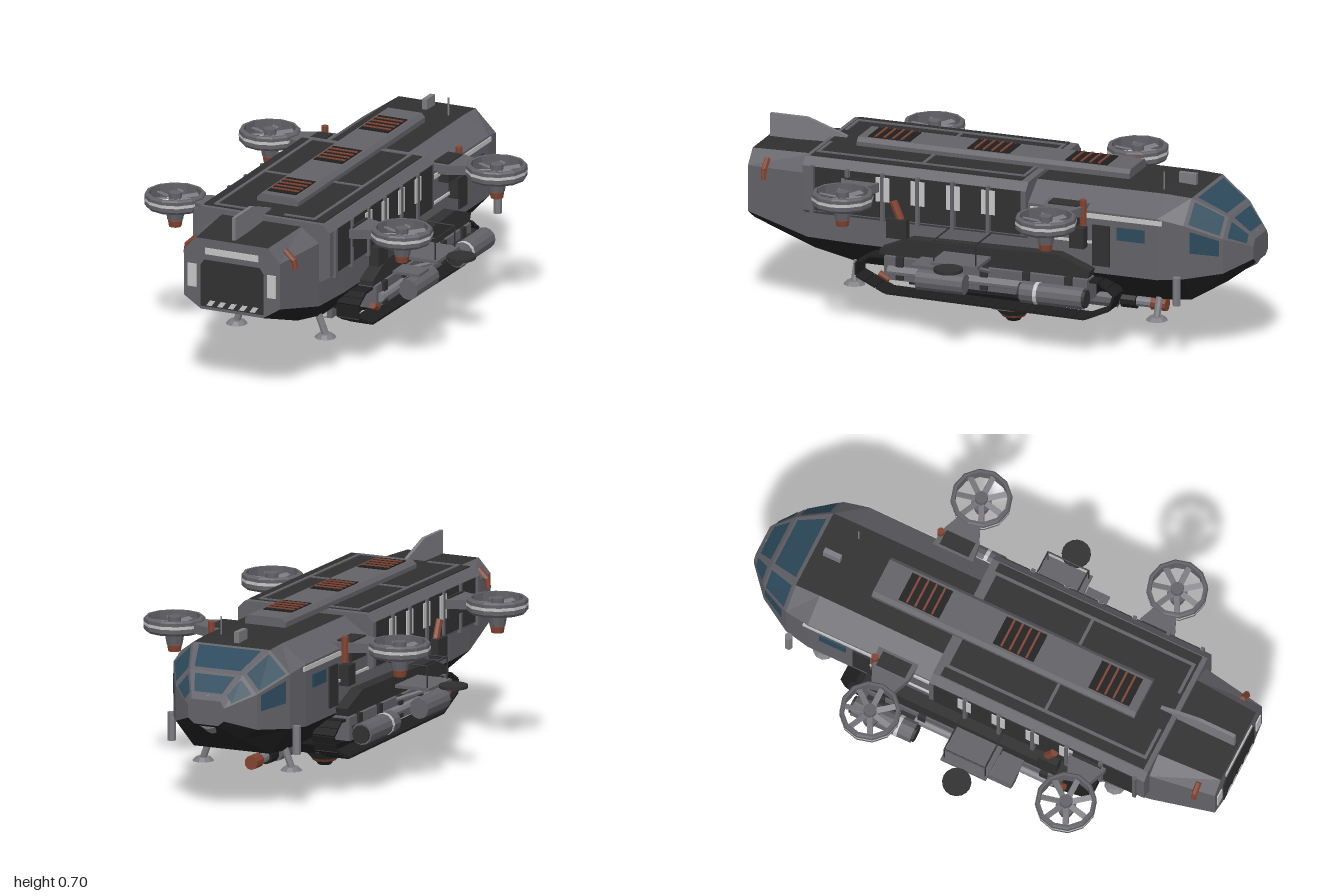
import * as THREE from 'three';
import { mergeGeometries } from 'three/addons/utils/BufferGeometryUtils.js';

const mat = (name, color, side = THREE.FrontSide) =>
  Object.assign(new THREE.MeshStandardMaterial({ color, flatShading: true, side }), { name });

export function createModel() {
  const root = new THREE.Group();
  root.name = 'armouredTransport';
  const grey = mat('hullGrey', 0x626167), dark = mat('darkPanel', 0x303030), black = mat('undersideBlack', 0x1f1f1f);
  const light = mat('lightPanel', 0xc4c4c4), glass = mat('glassBlue', 0x2c4a5c), rust = mat('rustRed', 0x82432f);
  const steel = mat('steelGrey', 0x7b7a80);

  // ---- helpers ----
  const add = (name, geo, m, x = 0, y = 0, z = 0, parent = root) => {
    const mesh = new THREE.Mesh(geo, m);
    mesh.name = name;
    mesh.position.set(x, y, z);
    parent.add(mesh);
    return mesh;
  };
  // box given by its limits
  const box = (name, m, x0, x1, y0, y1, z0, z1, parent = root) =>
    add(name, new THREE.BoxGeometry(Math.abs(x1 - x0), y1 - y0, Math.abs(z1 - z0)), m, (x0 + x1) / 2, (y0 + y1) / 2, (z0 + z1) / 2, parent);
  const cyl = (name, m, r0, r1, h, x, y, z, n = 12, parent = root) =>
    add(name, new THREE.CylinderGeometry(r0, r1, h, n), m, x, y, z, parent);
  const rod = (name, m, r, a, b, n = 6) => {
    const A = new THREE.Vector3(...a), B = new THREE.Vector3(...b), d = B.clone().sub(A);
    const o = cyl(name, m, r, r, d.length(), 0, 0, 0, n);
    o.position.copy(A).add(B).multiplyScalar(0.5);
    o.quaternion.setFromUnitVectors(new THREE.Vector3(0, 1, 0), d.normalize());
    return o;
  };
  const shape = pts => new THREE.Shape(pts.map(p => new THREE.Vector2(...p)));
  const extrude = (pts, depth) => new THREE.ExtrudeGeometry(shape(pts), { depth, bevelEnabled: false });
  const quadGeo = quads => {
    const g = new THREE.BufferGeometry();
    const v = quads.flatMap(([a, b, c, d]) => [a, b, c, a, c, d].flatMap(p => p.toArray()));
    g.setAttribute('position', new THREE.Float32BufferAttribute(v, 3));
    g.computeVertexNormals();
    return g;
  };
  const both = fn => [1, -1].forEach(fn);

  // ---- hull: octagonal sections [z, top half width, top y, side half width, upper y, lower y, bottom half width, bottom y] ----
  const ring = ([z, a, t, w, yu, yl, b, bot]) =>
    [[b, bot], [w, yl], [w, yu], [a, t], [-a, t], [-w, yu], [-w, yl], [-b, bot]].map(p => new THREE.Vector3(p[0], p[1], z));
  const facet = (r0, r1, j) => [r0[j], r1[j], r1[(j + 1) % 8], r0[(j + 1) % 8]];
  const loft = (name, sections, mats) => {
    const rings = sections.map(ring);
    for (let j = 0; j < 8; j++)
      add(name, quadGeo(rings.slice(1).map((r, i) => facet(rings[i], r, j))), mats[j]);
    return rings;
  };
  const tail = [0.994, 0.15, 0.605, 0.2, 0.55, 0.37, 0.13, 0.325];
  const tailEnd = [0.74, 0.165, 0.615, 0.24, 0.56, 0.31, 0.15, 0.24];
  const noseStart = [-0.78, 0.16, 0.615, 0.245, 0.53, 0.32, 0.16, 0.215];
  const tailRings = loft('tailHull', [tail, tailEnd], [black, grey, grey, dark, grey, grey, black, grey]);
  loft('mainHull', [tailEnd, [0.55, 0.165, 0.62, 0.255, 0.56, 0.31, 0.16, 0.205],
    [-0.68, 0.16, 0.62, 0.262, 0.55, 0.31, 0.16, 0.205], noseStart], [black, grey, grey, dark, grey, grey, black, black]);
  const nose = loft('noseHull', [noseStart, [-0.91, 0.11, 0.54, 0.17, 0.47, 0.335, 0.11, 0.29],
    [-0.997, 0.06, 0.45, 0.075, 0.425, 0.375, 0.05, 0.355]], [black, grey, grey, grey, grey, grey, black, black]);
  add('tailFace', new THREE.ShapeGeometry(shape(tailRings[0].map(p => [p.x, p.y]))), grey, 0, 0, 0.994);
  add('noseFace', new THREE.ShapeGeometry(shape(nose[2].map(p => [-p.x, p.y]).reverse())), grey, 0, 0, -0.997).rotation.y = Math.PI;

  // cockpit panes inset on the nose facets
  const pane = (name, [a, b, c, d], m, u0, u1, v0, v1) => {
    const n = b.clone().sub(a).cross(d.clone().sub(a)).normalize().multiplyScalar(0.004);
    const at = (u, v) => a.clone().lerp(b, u).lerp(d.clone().lerp(c, u), v).add(n);
    add(name, quadGeo([[at(u0, v0), at(u1, v0), at(u1, v1), at(u0, v1)]]), m);
  };
  for (const j of [2, 3, 4]) {
    pane('upperWindow', facet(nose[0], nose[1], j), glass, 0.1, 0.9, 0.08, 0.92);
    pane('frontWindow', facet(nose[1], nose[2], j), glass, 0.12, 0.75, 0.1, 0.9);
  }
  pane('sideWindow', facet(nose[0], nose[1], 1), glass, 0.15, 0.9, 0.5, 0.93);
  pane('sideWindow', facet(nose[0], nose[1], 5), glass, 0.15, 0.9, 0.07, 0.5);
  const cap = cyl('noseCap', steel, 0.065, 0.09, 0.04, 0, 0.4, -0.965, 10);
  cap.rotation.x = -Math.PI / 2;

  // ---- rear ramp ----
  const plate = (name, m, pts, z = 0.994) => add(name, extrude(pts, 0.004), m, 0, 0, z);
  plate('rampDoor', dark, [[-0.13, 0.338], [0.13, 0.338], [0.13, 0.5], [0.115, 0.522], [-0.115, 0.522], [-0.13, 0.5]]);
  plate('rearLightBar', light, [[-0.11, 0.545], [0.11, 0.545], [0.11, 0.57], [-0.11, 0.57]]);
  for (let i = 0; i < 5; i++) {
    const x = -0.105 + i * 0.045;
    plate('hazardStripe', light, [[x, 0.343], [x + 0.022, 0.343], [x + 0.037, 0.364], [x + 0.015, 0.364]], 0.996);
  }
  both(s => {
    box('rearSideLight', light, s * 0.147, s * 0.183, 0.41, 0.5, 0.994, 0.999);
    rod('rearHandle', rust, 0.012, [s * 0.185, 0.58, 0.92], [s * 0.222, 0.545, 0.92]);
    rod('rearHandle', rust, 0.01, [s * 0.222, 0.55, 0.92], [s * 0.228, 0.51, 0.92]);
  });

  // ---- cabin module with windows ----
  const cabin = [[-0.25, 0.41], [0.25, 0.41], [0.285, 0.43], [0.285, 0.605], [0.255, 0.635], [-0.255, 0.635], [-0.285, 0.605], [-0.285, 0.43]];
  add('cabin', extrude(cabin, 0.9), grey, 0, 0, -0.16);
  box('cabinRoof', dark, -0.25, 0.25, 0.633, 0.639, -0.13, 0.72);
  both(s => {
    box('roofTrim', grey, s * 0.2, s * 0.212, 0.637, 0.643, -0.13, 0.71);
    for (const z of [-0.13, 0.28, 0.7]) box('roofCrossTrim', grey, s * 0.08, s * 0.212, 0.637, 0.643, z, z + 0.012);
    for (let i = 0; i < 6; i++) {
      const z = -0.08 + i * 0.142;
      box('cabinSidePanel', dark, s * 0.283, s * 0.289, 0.435, 0.605, z - 0.06, z + 0.06);
      if (i < 4) box('cabinWindow', light, s * 0.287, s * 0.293, 0.5, 0.595, z + 0.042, z + 0.097);
      box('cabinRib', grey, s * 0.28, s * 0.296, 0.42, 0.61, z + 0.064, z + 0.078);
    }
    box('hullStripe', light, s * 0.255, s * 0.266, 0.525, 0.543, -0.7, -0.17);
    box('lowerHullStripe', light, s * 0.255, s * 0.266, 0.425, 0.435, -0.45, 0.1);
    box('hullWindow', glass, s * 0.255, s * 0.267, 0.45, 0.5, -0.63, -0.52);
    box('sideDoor', dark, s * 0.255, s * 0.267, 0.34, 0.5, -0.49, -0.42);
    rod('noseBumper', steel, 0.016, [s * 0.262, 0.22, -0.76], [s * 0.262, 0.33, -0.76]);
    rod('exhaustStack', rust, 0.014, [s * 0.28, 0.5, -0.39], [s * 0.28, 0.6, -0.39], 8);
    rod('exhaustElbow', rust, 0.016, [s * 0.295, 0.44, 0.34], [s * 0.295, 0.51, 0.37], 8);
    box('equipmentBox', dark, s * 0.28, s * 0.32, 0.37, 0.445, 0.31, 0.39);
    box('equipmentBox', dark, s * 0.25, s * 0.3, 0.41, 0.49, -0.4, -0.34);
  });

  // ---- roof spine with vent grilles, fin and aerials ----
  add('roofSpine', extrude([[-0.085, 0.635], [0.085, 0.635], [0.085, 0.655], [0.07, 0.67], [-0.07, 0.67], [-0.085, 0.655]], 1.1), grey, 0, 0, -0.5);
  for (const z of [-0.315, 0.08, 0.48]) {
    box('ventGrille', black, -0.06, 0.06, 0.668, 0.673, z - 0.085, z + 0.085);
    for (let i = 0; i < 4; i++) box('ventBar', rust, -0.058, 0.058, 0.671, 0.677, z - 0.055 + i * 0.035, z - 0.047 + i * 0.035);
  }
  const fin = add('tailFin', extrude([[-0.98, 0.61], [-0.98, 0.7], [-0.83, 0.7], [-0.67, 0.645], [-0.67, 0.61]].reverse(), 0.014), steel, -0.007);
  fin.rotation.y = Math.PI / 2;
  box('roofBox', steel, -0.01, 0.01, 0.61, 0.66, -0.74, -0.67);
  rod('aerial', steel, 0.003, [0.11, 0.61, -0.65], [0.11, 0.69, -0.65]);

  // ---- four ducted rotors ----
  const duct = [[0.1, 0.533], [0.108, 0.53], [0.116, 0.54], [0.116, 0.58], [0.11, 0.586], [0.1, 0.586], [0.1, 0.533]].map(p => new THREE.Vector2(...p));
  both(s => [-0.315, 0.505].forEach(z => {
    const rotor = new THREE.Group();
    rotor.name = 'rotor';
    rotor.position.set(s * 0.473, 0, z);
    root.add(rotor);
    add('duct', new THREE.LatheGeometry(duct, 12), grey, 0, 0, 0, rotor);
    add('ductStripe', new THREE.CylinderGeometry(0.1175, 0.1175, 0.012, 12, 1, true), light, 0, 0.562, 0, rotor);
    cyl('hub', grey, 0.025, 0.025, 0.04, 0, 0.565, 0, 10, rotor);
    cyl('motor', grey, 0.04, 0.03, 0.055, 0, 0.505, 0, 10, rotor);
    cyl('motorTip', rust, 0.028, 0.024, 0.024, 0, 0.463, 0, 10, rotor);
    for (let i = 0; i < 7; i++) {
      const blade = add('blade', new THREE.BoxGeometry(0.09, 0.006, 0.022).translate(0.06, 0, 0), steel, 0, 0.56, 0, rotor);
      blade.rotation.set(0.35, i * Math.PI * 2 / 7, 0, 'YXZ');
    }
    const arm = add('rotorArm', extrude([[0.22, -0.085], [0.3, -0.075], [0.372, -0.045], [0.372, 0.045], [0.3, 0.075], [0.22, 0.085]], 0.036), grey, 0, 0.538, z);
    arm.rotation.set(-Math.PI / 2, 0, s < 0 ? Math.PI : 0);
    box('armBase', dark, s * 0.24, s * 0.3, 0.5, 0.58, z - 0.06, z + 0.06);
  }));

  // ---- tracks, fenders and side machinery ----
  const path = [[0.46, 0.285], [0.52, 0.25], [0.52, 0.2], [0.4, 0.145], [-0.4, 0.135], [-0.5, 0.18], [-0.52, 0.24], [-0.46, 0.285]];
  const links = [];
  path.forEach(([z0, y0], i) => {
    const [z1, y1] = path[(i + 1) % path.length], len = Math.hypot(z1 - z0, y1 - y0), n = Math.max(1, Math.round(len / 0.04));
    for (let k = 0; k < n; k++) {
      const t = (k + 0.5) / n;
      links.push(new THREE.BoxGeometry(0.092, 0.009, len / n * 0.94).rotateX(-Math.atan2(y1 - y0, z1 - z0)).translate(0, y0 + (y1 - y0) * t, z0 + (z1 - z0) * t));
    }
  });
  const belt = mergeGeometries(links);
  const fender = [[-0.42, 0.3], [0.42, 0.3], [0.42, 0.32], [0.3, 0.37], [-0.3, 0.38], [-0.43, 0.33]];
  both(s => {
    add('track', belt, black, s * 0.255);
    const f = add('fender', extrude(fender.map(p => [-p[0], p[1]]).reverse(), 0.07), dark, s > 0 ? 0.24 : -0.31);
    f.rotation.y = Math.PI / 2;
    box('trackFrame', grey, s * 0.22, s * 0.315, 0.205, 0.295, -0.42, 0.4);
    for (let i = 0; i < 5; i++) box('frameBracket', dark, s * 0.31, s * 0.325, 0.21, 0.3, -0.36 + i * 0.17, -0.33 + i * 0.17);
    rod('frameTube', steel, 0.018, [s * 0.32, 0.245, -0.2], [s * 0.32, 0.245, 0.38], 8);
    rod('sideTank', grey, 0.042, [s * 0.37, 0.24, -0.43], [s * 0.37, 0.24, -0.18], 12);
    rod('tankEnd', dark, 0.035, [s * 0.37, 0.24, -0.44], [s * 0.37, 0.24, -0.17], 12);
    rod('tankBand', light, 0.0435, [s * 0.37, 0.24, -0.25], [s * 0.37, 0.24, -0.235], 12);
    box('tankMount', dark, s * 0.3, s * 0.35, 0.22, 0.26, -0.4, -0.2);
    rod('sideCanister', grey, 0.04, [s * 0.37, 0.24, 0.05], [s * 0.37, 0.24, 0.24], 12);
    box('canisterMount', dark, s * 0.3, s * 0.35, 0.225, 0.26, 0.08, 0.2);
    // side platform with rail, brace and round step
    box('platform', grey, s * 0.25, s * 0.455, 0.33, 0.342, -0.03, 0.16);
    box('platformStep', grey, s * 0.25, s * 0.42, 0.3, 0.31, 0.16, 0.25);
    cyl('roundStep', dark, 0.055, 0.055, 0.012, s * 0.508, 0.338, 0.065, 16);
    for (const z of [-0.02, 0.15]) {
      rod('railPost', dark, 0.003, [s * 0.44, 0.34, z], [s * 0.44, 0.425, z]);
      rod('railBar', dark, 0.003, [s * 0.28, 0.425, z], [s * 0.44, 0.425, z]);
      rod('platformBrace', steel, 0.009, [s * 0.43, 0.33, z], [s * 0.29, 0.275, z]);
    }
    rod('railBar', dark, 0.003, [s * 0.44, 0.425, -0.02], [s * 0.44, 0.425, 0.15]);
    rod('frameValve', rust, 0.013, [s * 0.31, 0.205, 0.38], [s * 0.31, 0.225, 0.42], 8);
    // landing legs
    for (const z of [0.57, -0.65]) {
      rod('landingLeg', steel, 0.014, [s * 0.15, 0.23, z], [s * 0.185, 0.14, z], 8);
      cyl('landingFoot', steel, 0.028, 0.042, 0.014, s * 0.185, 0.135, z, 10);
    }
  });

  // ---- belly, turret and gun ----
  box('chassis', black, -0.21, 0.21, 0.16, 0.25, -0.36, 0.34);
  add('bellyPan', new THREE.CylinderGeometry(1.08, 0.88, 0.06, 8).rotateY(Math.PI / 8).scale(0.22, 1, 0.31), black, 0, 0.13, 0);
  box('bellyMachinery', grey, -0.11, 0.11, 0.125, 0.178, 0.3, 0.36);
  for (const x of [-0.01, 0.03, 0.07]) box('machineryPlate', light, x, x + 0.02, 0.13, 0.172, 0.358, 0.364);
  cyl('turretRing', grey, 0.12, 0.115, 0.02, 0, 0.076, 0, 20);
  cyl('turretNeck', dark, 0.1, 0.1, 0.03, 0, 0.095, 0, 20);
  cyl('turretDome', dark, 0.09, 0.05, 0.04, 0, 0.046, 0, 16);
  cyl('turretCollar', rust, 0.052, 0.045, 0.01, 0, 0.022, 0, 16);
  cyl('turretTip', black, 0.04, 0.025, 0.02, 0, 0.01, 0, 12);
  rod('gunHousing', grey, 0.035, [0, 0.13, -0.2], [0, 0.13, -0.42], 10);
  rod('gunBarrel', steel, 0.02, [0, 0.13, -0.4], [0, 0.13, -0.58], 10);
  rod('gunBand', black, 0.03, [0, 0.13, -0.44], [0, 0.13, -0.5], 10);
  rod('gunMuzzle', rust, 0.027, [0, 0.13, -0.56], [0, 0.13, -0.62], 10);

  return root;
}
